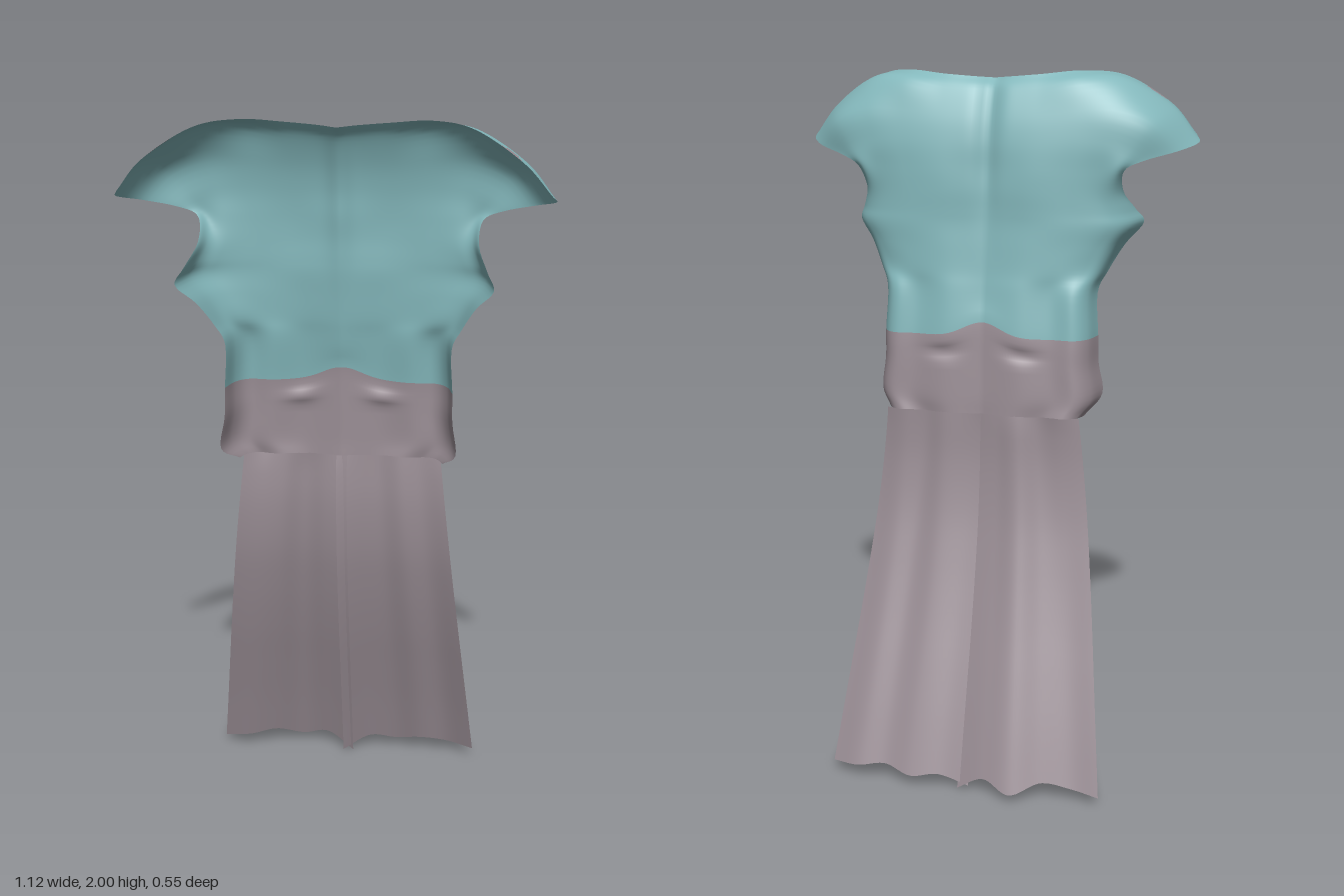
import * as THREE from 'three';

const V = (x, y, z) => new THREE.Vector3(x, y, z);
const bell = (d, width) => Math.exp(-((d / width) ** 2));
const teal = new THREE.MeshStandardMaterial({ color: 0x84b8bc, side: THREE.DoubleSide });
teal.name = 'tealCloth';
const mauve = new THREE.MeshStandardMaterial({ color: 0x9c9097, side: THREE.DoubleSide });
mauve.name = 'mauveCloth';

// Smooth value along evenly spaced numbers
function along(values, t) {
  return new THREE.CatmullRomCurve3(values.map((v, i) => V(i, v, 0)), false, 'catmullrom').getPoint(t).y;
}

// Open cloth sheet; rows run downwards, columns run from -x to +x.
// isMauve picks the colour of each cell.
function sheet(cols, rows, pointAt, isMauve) {
  const pos = [], parts = [[], []];
  for (let j = 0; j <= rows; j++)
    for (let i = 0; i <= cols; i++) pos.push(...pointAt(i / cols, j / rows).toArray());
  for (let j = 0; j < rows; j++)
    for (let i = 0; i < cols; i++) {
      const a = j * (cols + 1) + i, b = a + 1, c = a + cols + 1, d = c + 1;
      parts[isMauve(pos[a * 3], pos[a * 3 + 2], j) ? 1 : 0].push(a, b, c, b, d, c);
    }
  const g = new THREE.BufferGeometry();
  g.setAttribute('position', new THREE.Float32BufferAttribute(pos, 3));
  g.setIndex([...parts[0], ...parts[1]]);
  g.addGroup(0, parts[0].length, 0);
  g.addGroup(parts[0].length, parts[1].length, 1);
  g.computeVertexNormals();
  return new THREE.Mesh(g, [teal, mauve]);
}

// Shoulder rows, from the neck edge down to the armhole, centre to side
const shoulderRows = [
  [[0, 1.98, 0.12], [0.13, 1.99, 0.11], [0.25, 2.0, 0.155], [0.355, 1.985, 0.232], [0.475, 1.91, 0.272], [0.548, 1.828, 0.253]],
  [[0, 1.95, 0.085], [0.13, 1.955, 0.08], [0.25, 1.975, 0.09], [0.36, 1.972, 0.138], [0.482, 1.902, 0.195], [0.559, 1.809, 0.208]],
  [[0, 1.88, 0.056], [0.13, 1.88, 0.05], [0.25, 1.895, 0.056], [0.35, 1.897, 0.067], [0.445, 1.863, 0.09], [0.512, 1.79, 0.13]],
  [[0, 1.81, 0.042], [0.13, 1.81, 0.034], [0.25, 1.815, 0.04], [0.33, 1.81, 0.048], [0.39, 1.79, 0.06], [0.43, 1.767, 0.08]],
];

// Torso rows: height, centre depth, half width, side depth
const torsoRows = [
  [1.74, 0.04, 0.378, 0.065], [1.68, 0.037, 0.37, 0.115], [1.625, 0.037, 0.394, 0.19],
  [1.585, 0.036, 0.411, 0.23], [1.53, 0.032, 0.368, 0.18], [1.46, 0.026, 0.33, 0.13],
  [1.4, 0.018, 0.305, 0.11], [1.28, 0.003, 0.31, 0.105], [1.2, -0.002, 0.312, 0.11],
  [1.11, -0.006, 0.323, 0.118], [1.06, -0.006, 0.285, 0.04],
];
const xPart = [0, 0.33, 0.62, 0.83, 0.945, 1], zPart = [0, 0, 0.02, 0.12, 0.42, 1];
const upperFold = [0, -0.014, -0.006, 0.004, 0, 0];
const waistFold = [0, -0.015, -0.002, -0.014, -0.01, 0];

function bodice() {
  const lists = shoulderRows.map(r => r.map(p => V(...p)));
  torsoRows.forEach(([y, zc, w, ze]) => {
    const fold = y > 1.43 ? upperFold : waistFold;
    lists.push(xPart.map((f, i) => V(f * w, y, zc + (ze - zc) * zPart[i] + fold[i])));
  });
  const curves = lists.map(l => new THREE.CatmullRomCurve3(l, false, 'catmullrom'));
  const cache = new Map();
  const column = u => {
    const key = u.toFixed(4);
    if (!cache.has(key))
      cache.set(key, new THREE.CatmullRomCurve3(curves.map(c => c.getPoint(u)), false, 'catmullrom'));
    return cache.get(key);
  };
  const at = (u, v) => {
    const s = u * 2 - 1, p = column(Math.abs(s)).getPoint(v);
    // Narrow groove along the spine, deepest at the neck
    p.z += 0.02 * bell(p.x, 0.03) * THREE.MathUtils.smoothstep(p.y, 1.45, 1.95);
    // Two shallow creases at the lower back
    p.z += 0.014 * bell(p.x - 0.11, 0.05) * bell(p.y - 1.23, 0.014);
    // The colour border rises in the middle
    p.y += 0.04 * bell(p.x, 0.075) * bell(p.y - 1.28, 0.07);
    if (s < 0) p.x *= -1;
    return p;
  };
  const border = 11 * 5;
  const mesh = sheet(120, 14 * 5, at, (x, z, j) =>
    j >= border || (j < 3 && Math.hypot(Math.abs(x) - 0.435, z - 0.272) < 0.03));
  mesh.name = 'bodice';
  return mesh;
}

// Long tail panel; tables run from the centre slit to the outer edge
const fall = [0, -0.002, -0.02, -0.054, -0.096, -0.143, -0.19, -0.235];
const waist = [-0.004, -0.012, -0.021, -0.009, -0.014, -0.002];
function tailPanel(side, inner, outer, ripple, hem) {
  const mesh = sheet(36, 32, (u, v) => {
    const f = side > 0 ? u : 1 - u;
    const y = THREE.MathUtils.lerp(1.061, along(hem, f), v);
    const half = THREE.MathUtils.lerp(0.279, outer, v);
    const x = side * THREE.MathUtils.lerp(inner, half, f);
    // Folds grow from the waist line into the hem waves
    const wave = THREE.MathUtils.lerp(along(waist, f), along(ripple, f), Math.sqrt(v));
    return V(x, y, along(fall, v) + wave);
  }, () => true);
  mesh.name = side > 0 ? 'leftTailPanel' : 'rightTailPanel';
  return mesh;
}

export function createModel() {
  const group = new THREE.Group();
  group.name = 'backGarment';
  group.add(
    bodice(),
    tailPanel(1, -0.016, 0.393, [0.02, -0.008, -0.02, 0.002, -0.006, 0.022], [0.005, 0.045, 0.035, 0.052, 0.04, 0.032]),
    tailPanel(-1, -0.014, 0.398, [0.01, -0.012, -0.04, -0.002, 0.014, 0.004], [0, 0.05, 0.025, 0.055, 0.04, 0.028]),
  );
  return group;
}
